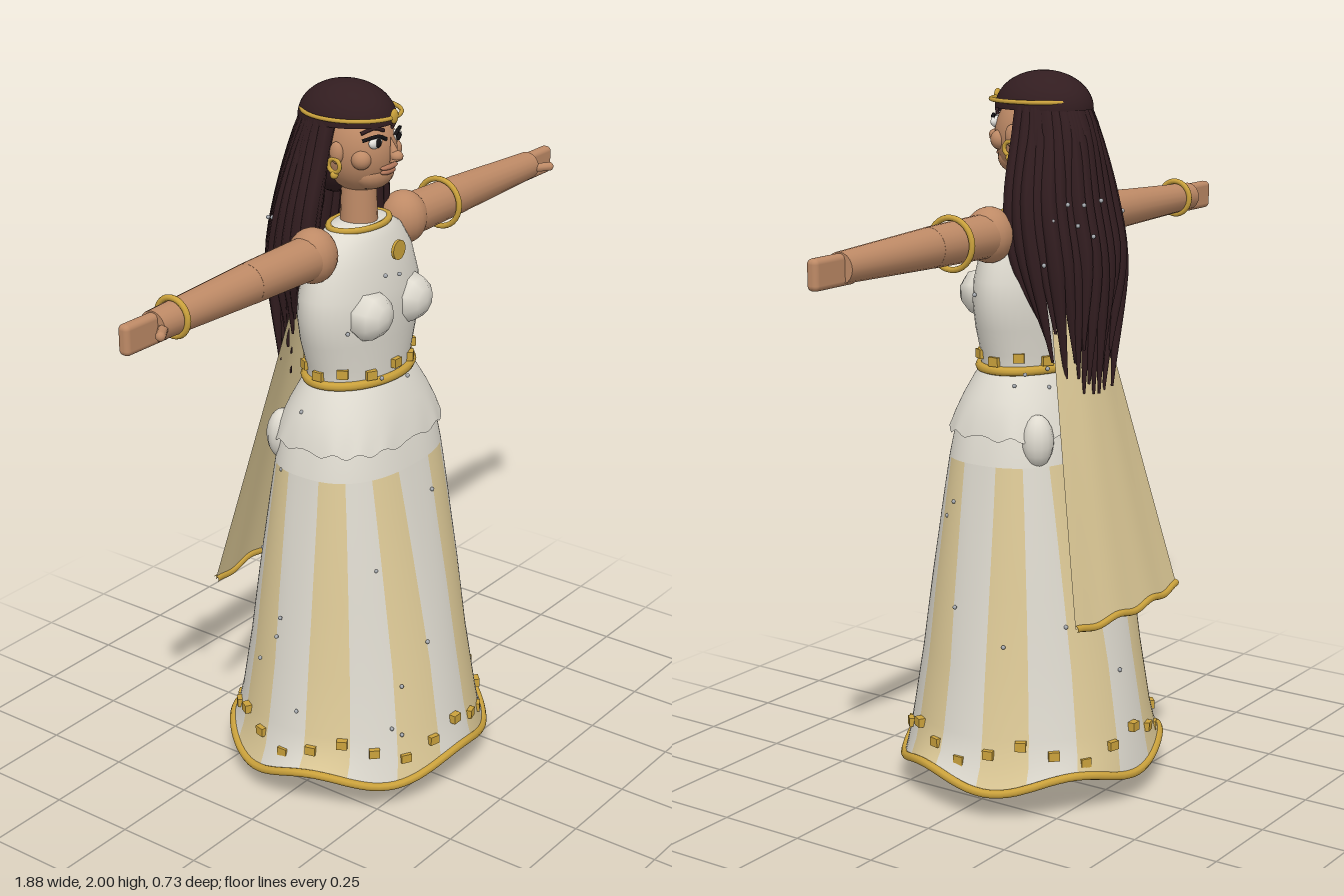
import * as THREE from 'three';
import { RoundedBoxGeometry } from 'three/addons/geometries/RoundedBoxGeometry.js';

const mat = (name, color, side = THREE.FrontSide) => {
  const m = new THREE.MeshStandardMaterial({ color, side });
  m.name = name;
  return m;
};

export function createModel() {
  const model = new THREE.Group();
  model.name = 'figure';
  const D = THREE.DoubleSide;
  const white = mat('ivory cloth', 0xdfdbd0, D), cream = mat('cream cloth', 0xdfcb98, D);
  const gold = mat('gold', 0xcba23c), skin = mat('skin', 0xbe8a66), hair = mat('dark hair', 0x321d20, D);
  const eyeWhite = mat('eye white', 0xf2f0ea), black = mat('black', 0x141214);
  const lip = mat('lip', 0xb0765a), bead = mat('silver bead', 0xa9adb2);

  let seed = 7;
  const rand = () => (seed = (seed * 16807) % 2147483647) / 2147483647;
  const V = (x, y, z) => new THREE.Vector3(x, y, z);

  const add = (name, geo, material, x = 0, y = 0, z = 0, parent = model) => {
    const m = new THREE.Mesh(geo, material);
    m.name = name;
    m.position.set(x, y, z);
    parent.add(m);
    return m;
  };
  const ball = (name, material, x, y, z, rx, ry = rx, rz = rx, seg = 20) => {
    const m = add(name, new THREE.SphereGeometry(1, seg, Math.max(6, seg * 0.7 | 0)), material, x, y, z);
    m.scale.set(rx, ry, rz);
    return m;
  };
  const tube = (name, pts, r, material, closed = false, seg = 48) =>
    add(name, new THREE.TubeGeometry(new THREE.CatmullRomCurve3(pts, closed), seg, r, 8, closed), material);
  // Gold band around an oval, optionally waved
  const ellipse = (name, y, rx, rz, r, z = 0, wave = 0, waves = 5) => {
    const pts = [];
    for (let i = 0; i < 40; i++) {
      const a = i / 40 * Math.PI * 2;
      pts.push(V(rx * Math.sin(a), y + wave * Math.cos(waves * a), z + rz * Math.cos(a)));
    }
    return tube(name, pts, r, gold, true, 100);
  };

  // Skin a stack of oval rings, listed top down: [y, rx, rz, wave height, roundness]
  const loft = (rings, segs, waves = 5) => {
    const pos = [], idx = [];
    for (const [y, rx, rz, w = 0, e = 1] of rings) {
      for (let j = 0; j < segs; j++) {
        const a = j / segs * Math.PI * 2, s = Math.sin(a), c = Math.cos(a);
        pos.push(rx * Math.sign(s) * Math.abs(s) ** e, y + w * Math.cos(waves * a), rz * Math.sign(c) * Math.abs(c) ** e);
      }
    }
    for (let j = 0; j < segs; j++) {
      const k = (j + 1) % segs;
      for (let i = 0; i < rings.length - 1; i++) {
        const p = i * segs, q = p + segs;
        idx.push(p + j, q + j, p + k, p + k, q + j, q + k);
      }
    }
    const g = new THREE.BufferGeometry();
    g.setAttribute('position', new THREE.Float32BufferAttribute(pos, 3));
    g.setIndex(idx);
    g.computeVertexNormals();
    return g;
  };

  // Bodice
  add('bodice', loft([[1.63, 0.03, 0.03], [1.625, 0.1, 0.06], [1.59, 0.155, 0.085], [1.53, 0.195, 0.105],
    [1.45, 0.217, 0.122], [1.39, 0.22, 0.126], [1.32, 0.207, 0.124], [1.25, 0.182, 0.12], [1.19, 0.175, 0.118]], 40), white);
  for (const s of [-1, 1]) {
    const bust = ball('bust', white, s * 0.09, 1.4, 0.1, 0.074, 0.064, 0.068, 8);
    bust.rotation.set(Math.PI / 2, Math.PI / 8, 0);
  }
  ellipse('neckline', 1.62, 0.104, 0.065, 0.009);
  const pendant = add('pendant', new THREE.CylinderGeometry(0.027, 0.027, 0.008, 24), gold, 0, 1.565, 0.13);
  pendant.rotation.x = Math.PI / 2;
  ellipse('belt', 1.207, 0.18, 0.122, 0.013);

  // Square studs facing outward around an oval
  const studs = (name, n, rx, rz, y, wave) => {
    for (let i = 0; i < n; i++) {
      const a = i / n * Math.PI * 2;
      const m = add(name, new THREE.BoxGeometry(0.03, 0.025, 0.02), gold,
        rx * Math.sin(a), y + wave * Math.cos(6 * a), rz * Math.cos(a));
      m.rotation.y = a;
    }
  };
  studs('beltStud', 12, 0.18, 0.124, 1.238, 0.006);

  // Overskirt with hip knots
  add('overskirt', loft([[1.21, 0.172, 0.115, 0, 0.95], [1.18, 0.192, 0.132, 0, 0.9], [1.13, 0.22, 0.155, 0, 0.85],
    [1.08, 0.24, 0.174, 0, 0.8], [1.035, 0.25, 0.186, 0.007, 0.75]], 96, 16), white);
  for (const s of [-1, 1]) ball('hipKnot', white, s * 0.172, 1.028, -0.133, 0.046, 0.073, 0.044, 14);

  // Plain skirt top, then sixteen alternating panels
  add('skirtYoke', loft([[1.08, 0.222, 0.155, 0, 0.75], [1.03, 0.24, 0.172, 0, 0.76], [0.96, 0.255, 0.189, 0, 0.8]], 96), white);
  const skirt = loft([[0.96, 0.255, 0.189, 0, 0.8], [0.85, 0.268, 0.212, 0, 0.84],
    [0.75, 0.28, 0.232, 0, 0.88], [0.6, 0.298, 0.262, 0, 0.93], [0.4, 0.32, 0.3], [0.22, 0.345, 0.33],
    [0.15, 0.36, 0.343, 0.01], [0.1, 0.386, 0.352, 0.021]], 96);
  const col = 7 * 6;
  skirt.addGroup(0, 3 * col, 0);
  for (let p = 1; p < 16; p++) skirt.addGroup((p * 6 - 3) * col, 6 * col, p % 2);
  skirt.addGroup(93 * col, 3 * col, 0);
  add('skirt', skirt, [white, cream]);
  ellipse('skirtHem', 0.1, 0.386, 0.352, 0.012, 0, 0.021);
  studs('hemStud', 24, 0.355, 0.34, 0.18, 0.03);

  // Legs, sandals, arms and hands
  for (const s of [-1, 1]) {
    add('leg', new THREE.CylinderGeometry(0.075, 0.045, 0.9, 16), skin, s * 0.11, 0.52, -0.01);
    add('foot', new RoundedBoxGeometry(0.1, 0.075, 0.26, 3, 0.025), skin, s * 0.11, 0.06, 0.08);
    add('sole', new RoundedBoxGeometry(0.112, 0.03, 0.28, 3, 0.012), gold, s * 0.11, 0.015, 0.08);
    add('sandalStrap', new THREE.BoxGeometry(0.104, 0.012, 0.025), gold, s * 0.11, 0.094, 0.13);
    for (const y of [0.12, 0.16]) {
      const ring = add('anklet', new THREE.TorusGeometry(0.054, 0.008, 8, 24), gold, s * 0.11, y, -0.01);
      ring.rotation.x = Math.PI / 2;
    }

    const arm = new THREE.Group();
    arm.name = s > 0 ? 'leftArm' : 'rightArm';
    model.add(arm);
    const limb = (name, x0, x1, r0, r1, y0, y1) => {
      const m = add(name, new THREE.CylinderGeometry(r1, r0, x1 - x0, 20), skin, s * (x0 + x1) / 2, (y0 + y1) / 2, 0, arm);
      m.rotation.z = -s * (Math.PI / 2 + Math.atan2(y0 - y1, x1 - x0));
    };
    const shoulder = add('shoulder', new THREE.SphereGeometry(0.075, 20, 14), skin, s * 0.203, 1.578, 0, arm);
    shoulder.scale.set(0.9, 1, 0.9);
    limb('upperArm', 0.19, 0.47, 0.06, 0.054, 1.577, 1.576);
    limb('forearm', 0.46, 0.83, 0.054, 0.04, 1.576, 1.572);
    add('hand', new RoundedBoxGeometry(0.16, 0.08, 0.034, 3, 0.014), skin, s * 0.86, 1.568, 0, arm);
    const thumb = add('thumb', new THREE.CapsuleGeometry(0.013, 0.07, 4, 10), skin, s * 0.835, 1.57, 0.035, arm);
    thumb.rotation.set(0, -s * 0.6, Math.PI / 2);
    const [bx, br] = s > 0 ? [0.375, 0.068] : [0.757, 0.049];
    const band = add('bracelet', new THREE.TorusGeometry(br, 0.008, 10, 32), gold, s * bx, 1.575, 0, arm);
    band.rotation.y = Math.PI / 2;
  }

  // Head and face
  add('neck', new THREE.CylinderGeometry(0.046, 0.052, 0.16, 20), skin, 0, 1.675, 0);
  ball('head', skin, 0, 1.825, 0, 0.096, 0.12, 0.105, 28);
  ball('jaw', skin, 0, 1.765, 0.045, 0.066, 0.046, 0.052);
  const nose = add('nose', new THREE.ConeGeometry(0.018, 0.065, 10), skin, 0, 1.838, 0.112);
  nose.rotation.x = -0.3;
  ball('noseTip', skin, 0, 1.82, 0.122, 0.017, 0.015, 0.018);
  ball('upperLip', lip, 0, 1.788, 0.098, 0.036, 0.008, 0.012);
  ball('lowerLip', lip, 0, 1.775, 0.095, 0.03, 0.009, 0.012);
  for (const s of [-1, 1]) {
    ball('cheek', skin, s * 0.068, 1.815, 0.058, 0.027);
    ball('eye', eyeWhite, s * 0.044, 1.86, 0.086, 0.025, 0.016, 0.012);
    ball('pupil', black, s * 0.044, 1.86, 0.096, 0.011, 0.012, 0.005);
    tube('eyelashes', [V(s * 0.018, 1.866, 0.102), V(s * 0.044, 1.878, 0.096), V(s * 0.084, 1.87, 0.072)], 0.005, black, false, 10);
    tube('eyebrow', [V(s * 0.018, 1.888, 0.094), V(s * 0.045, 1.898, 0.085), V(s * 0.075, 1.886, 0.062)], 0.005, hair, false, 10);
    ball('ear', skin, s * 0.098, 1.83, 0, 0.014, 0.03, 0.02);
    add('earring', new THREE.TorusGeometry(0.018, 0.006, 8, 20), gold, s * 0.108, 1.798, 0).rotation.y = Math.PI / 2;
    ball('earringDrop', gold, s * 0.108, 1.773, 0, 0.011);
  }

  // Hair cap, and a circlet that sinks into the hair at the back
  const cap = add('hairCap', new THREE.SphereGeometry(1, 32, 14, 0, Math.PI * 2, 0, Math.PI / 2), hair, 0, 1.9, -0.038);
  cap.scale.set(0.115, 0.1, 0.14);
  ball('hairBack', hair, 0, 1.84, -0.075, 0.106, 0.15, 0.098);
  ellipse('circlet', 1.922, 0.119, 0.138, 0.006, -0.025);
  ball('circletJewel', gold, 0, 1.925, 0.114, 0.014, 0.02, 0.008);

  // Tapering locks in two layers, longest at the middle of the back
  for (let layer = 0; layer < 2; layer++) {
    const n = layer ? 17 : 21;
    for (let i = 0; i < n; i++) {
      const a = (i / (n - 1) - 0.5) * Math.PI * 1.02, s = Math.sin(a), c = Math.cos(a);
      const k = 1 - layer * 0.13 + (rand() - 0.5) * 0.12;
      const end = 1.34 - 0.13 * c + (rand() - 0.5) * 0.2;
      const curve = new THREE.CatmullRomCurve3([
        V(0.085 * s, 1.93, -0.035 - 0.1 * c), V(0.112 * s, 1.84, -0.04 - 0.135 * c),
        V(0.168 * k * s, 1.66, -0.05 - 0.165 * k * c), V(0.172 * k * s, 1.5, -0.07 - 0.175 * k * c),
        V((0.13 * s + (rand() - 0.5) * 0.04) * k, end, -0.115 - 0.115 * c * k)]);
      const g = new THREE.TubeGeometry(curve, 18, 0.023, 7), p = g.attributes.position, v = V(0, 0, 0);
      for (let j = 0; j < p.count; j++) {
        const t = Math.floor(j / 8) / 18, o = curve.getPointAt(t);
        v.fromBufferAttribute(p, j).sub(o).multiplyScalar(t < 0.6 ? 1 : 1 - (t - 0.6) * 2.1).add(o);
        p.setXYZ(j, v.x, v.y, v.z);
      }
      add('hairLock', g, hair);
    }
  }

  // Back drape, bowed outward and widening towards its gold hem
  const drapeAt = (u, v) => V((u - 0.5) * (0.22 + 0.3 * v),
    1.42 - 0.87 * v + 0.006 * v * Math.cos(u * Math.PI * 6),
    -0.13 - 0.185 * v - 0.025 * Math.sin(u * Math.PI));
  const drape = new THREE.PlaneGeometry(1, 1, 24, 12), dp = drape.attributes.position;
  for (let i = 0; i < dp.count; i++) {
    const q = drapeAt(dp.getX(i) + 0.5, 0.5 - dp.getY(i));
    dp.setXYZ(i, q.x, q.y, q.z);
  }
  drape.computeVertexNormals();
  add('backDrape', drape, cream);
  tube('drapeHem', Array.from({ length: 25 }, (_, i) => drapeAt(i / 24, 1)), 0.01, gold);

  // Tiny beads scattered over dress and hair
  for (let i = 0; i < 40; i++) {
    const y = 0.22 + rand() * 1.3, a = rand() * Math.PI * 2;
    const t = (1.03 - y) / 0.8;
    const rx = y < 1.03 ? 0.255 + 0.1 * t : 0.222, rz = y < 1.03 ? 0.185 + 0.15 * t : 0.14;
    ball('bead', bead, rx * Math.sin(a), y, rz * Math.cos(a), 0.006, 0.006, 0.006, 8);
  }
  for (let i = 0; i < 14; i++) {
    const a = (rand() - 0.5) * 2.4, y = 1.5 + rand() * 0.18;
    ball('hairBead', bead, 0.19 * Math.sin(a), y, -0.065 - 0.192 * Math.cos(a), 0.006, 0.006, 0.006, 8);
  }
  return model;
}
